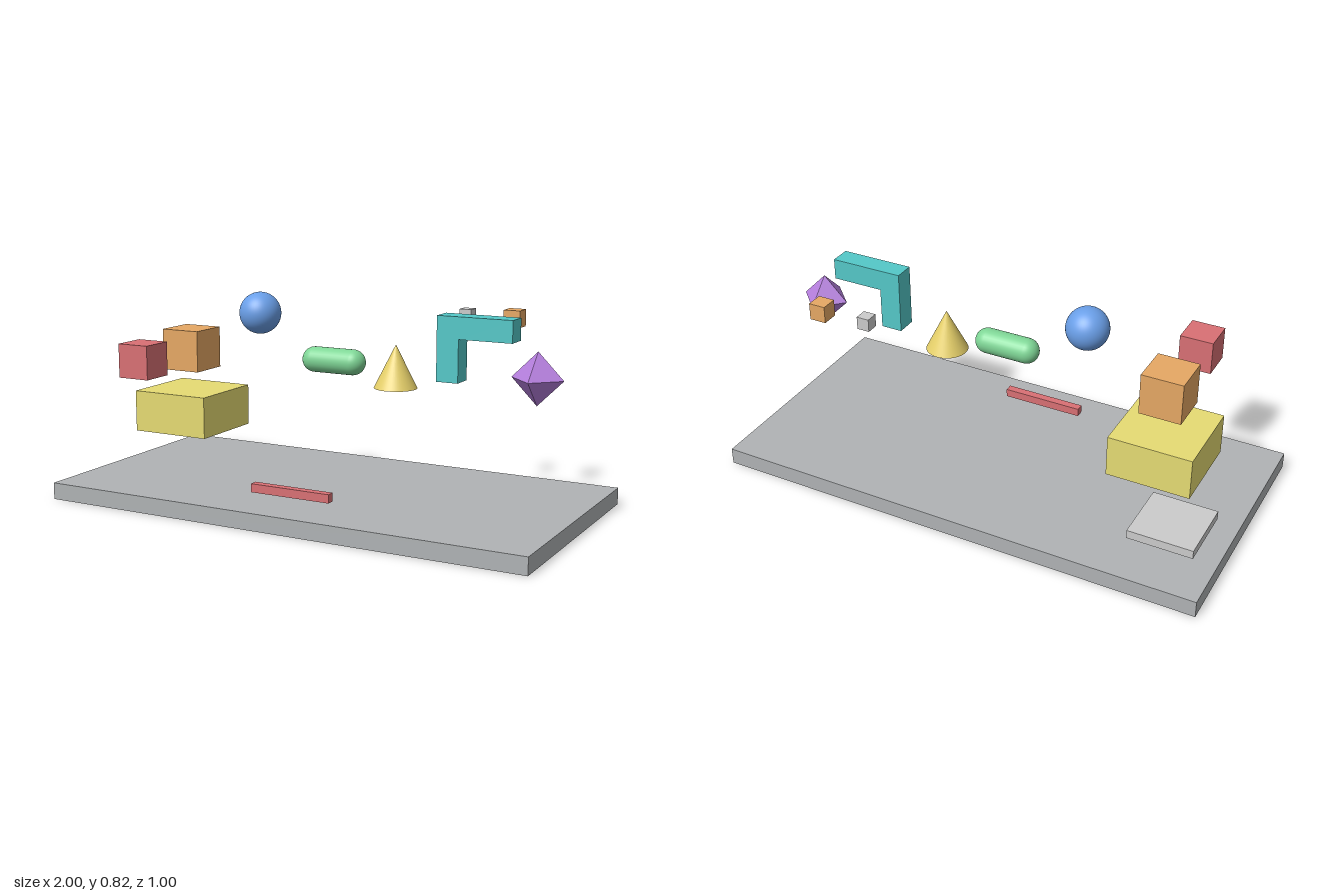
import * as THREE from 'three';

export function createModel() {
  const model = new THREE.Group();
  const U = 1 / 6; // layout module

  function add(name, geometry, color, x, y, z = 0, flatShading = false) {
    const material = new THREE.MeshStandardMaterial({ color, flatShading });
    const mesh = new THREE.Mesh(geometry, material);
    mesh.name = name;
    mesh.position.set(x, y, z);
    model.add(mesh);
    return mesh;
  }

  // Boxes: name, color, size, centre
  const boxes = [
    ['floor', 0xb0b3b5, [2, 0.4 * U, 1], [0, 0.2 * U, 0]],
    ['largeBlock', 0xe6dc73, [2 * U, U, 2 * U], [-4 * U, 1.9 * U, 0]],
    ['stackedCube', 0xe6a864, [U, U, U], [-4 * U, 3.4 * U, 0]],
    ['frontCube', 0xd97074, [0.8 * U, 0.8 * U, 0.8 * U], [-4 * U, 3.4 * U, 2 * U]],
    ['thinSlab', 0xcccccc, [1.5 * U, 0.2 * U, 1.5 * U], [-5 * U, 1.4 * U, -2 * U]],
    ['frontBar', 0xd97074, [2 * U, 0.2 * U, 0.2 * U], [0, 0.7 * U, 2 * U]],
    ['smallGreyCube', 0xcccccc, [0.3 * U, 0.3 * U, 0.3 * U], [2.5 * U, 4.4 * U, -2 * U]],
    ['smallOrangeCube', 0xe6a864, [0.4 * U, 0.4 * U, 0.4 * U], [3.68 * U, 4.4 * U, -2 * U]],
  ];
  for (const [name, color, size, centre] of boxes) {
    add(name, new THREE.BoxGeometry(...size), color, ...centre);
  }

  // Round solids
  add('sphere', new THREE.SphereGeometry(0.5 * U, 48, 32), 0x6a9fe8, -2 * U, 4.4 * U);
  const capsule = new THREE.CapsuleGeometry(0.3 * U, U, 12, 32).rotateZ(Math.PI / 2);
  add('capsule', capsule, 0x7fd696, 0, 3.4 * U);
  add('cone', new THREE.ConeGeometry(0.5 * U, U, 48), 0xe6d06a, 1.6 * U, 3.4 * U);

  // Angled bracket: a post with an arm reaching toward +x
  const outline = [[0.453, 0.53], [0.54, 0.53], [0.54, 0.694], [0.75, 0.694], [0.75, 0.778], [0.453, 0.778]];
  const bracketShape = new THREE.Shape(outline.map(([x, y]) => new THREE.Vector2(x, y)));
  const depth = 0.5 * U;
  const bracket = new THREE.ExtrudeGeometry(bracketShape, { depth, bevelEnabled: false });
  add('bracket', bracket, 0x54c8c8, 0, 0, -depth / 2);

  // Faceted gem
  add('octahedron', new THREE.OctahedronGeometry(0.6 * U), 0xb57fdd, 5 * U, 3.4 * U, 0, true);

  return model;
}
